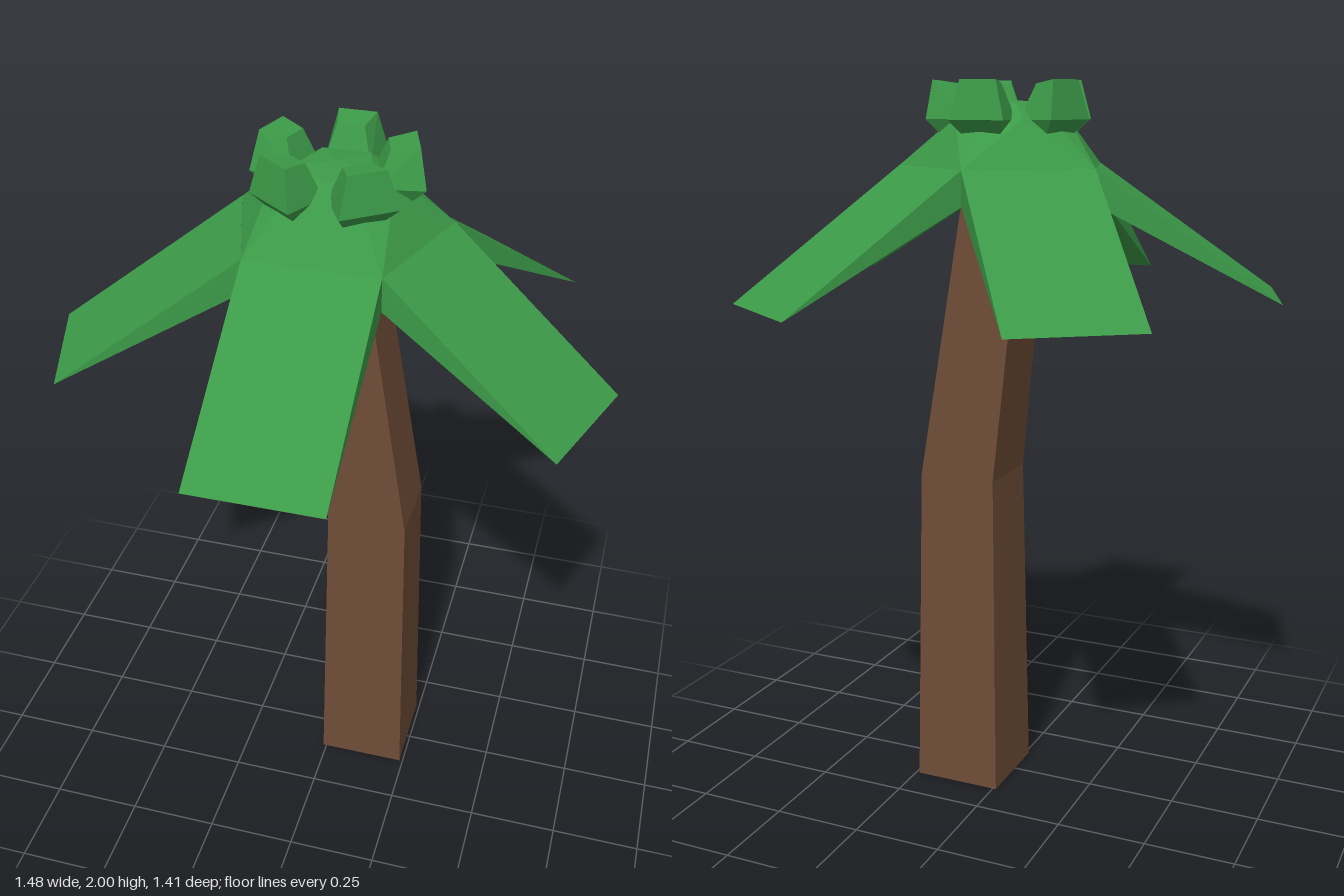
import * as THREE from 'three';
import { ConvexGeometry } from 'three/addons/geometries/ConvexGeometry.js';

export function createModel() {
  const leafGreen = new THREE.MeshStandardMaterial({ color: 0x3c9a48 });
  leafGreen.name = 'leafGreen';
  const barkBrown = new THREE.MeshStandardMaterial({ color: 0x6e4c36 });
  barkBrown.name = 'barkBrown';

  const model = new THREE.Group();
  model.name = 'palmTree';

  // Faceted solid wrapped around a few points
  const solid = (name, points, material, parent = model) => {
    const mesh = new THREE.Mesh(
      new ConvexGeometry(points.map((p) => new THREE.Vector3(...p))), material);
    mesh.name = name;
    parent.add(mesh);
    return mesh;
  };

  // Square trunk in two tapering sections: [y, xMin, xMax, zMin, zMax]
  const sections = [
    [0, -0.01, 0.24, -0.14, 0.107],
    [0.925, 0.004, 0.224, -0.124, 0.09],
    [1.75, -0.083, 0.088, -0.108, 0.063],
  ];
  const corners = ([y, x0, x1, z0, z1]) =>
    [[x0, y, z0], [x1, y, z0], [x1, y, z1], [x0, y, z1]];
  solid('lowerTrunk', [...corners(sections[0]), ...corners(sections[1])], barkBrown);
  solid('upperTrunk', [...corners(sections[1]), ...corners(sections[2])], barkBrown);

  // Small nuts half buried at the top of the trunk
  for (const [x, y, z, r] of [[0.0, 1.66, -0.11, 0.025], [0.09, 1.66, -0.03, 0.014]]) {
    const nut = new THREE.Mesh(new THREE.IcosahedronGeometry(r, 0), barkBrown);
    nut.name = 'nut';
    nut.position.set(x, y, z);
    model.add(nut);
  }

  // Crown: five-sided core, leaves and top bumps share one centre
  const crown = new THREE.Group();
  crown.name = 'crown';
  crown.position.z = -0.021;
  model.add(crown);

  const STEP = (Math.PI * 2) / 5;
  const ring = (r, y, offset) => Array.from({ length: 5 }, (_, i) => {
    const a = (i + offset) * STEP;
    return [r * Math.sin(a), y, r * Math.cos(a)];
  });
  solid('crownCore', [
    ...ring(0.294, 1.69, 0.5), ...ring(0.294, 1.78, 0.5),
    ...ring(0.2, 1.825, 0), ...ring(0.185, 1.87, 0.5),
    ...ring(0.16, 1.9, 0), ...ring(0.105, 1.94, 0), [0, 1.95, 0],
  ], leafGreen, crown);

  const both = (x, y, z) => [[x, y, z], [-x, y, z]];
  for (let i = 0; i < 5; i++) {
    // Leaf: wedge thinning out to a straight tip
    solid('leaf', [
      ...both(0.173, 1.78, 0.238), ...both(0.173, 1.69, 0.238), ...both(0.173, 1.44, 0.723),
    ], leafGreen, crown).rotation.y = i * STEP;

    // Bump: chamfered block between two leaves
    solid('crownBump', [
      ...both(0.045, 1.85, 0.165), ...both(0.077, 1.9, 0.21), ...both(0.05, 2, 0.195),
      ...both(0.035, 1.99, 0.125), ...both(0.06, 1.9, 0.09),
    ], leafGreen, crown).rotation.y = (i + 0.5) * STEP;
  }
  return model;
}
